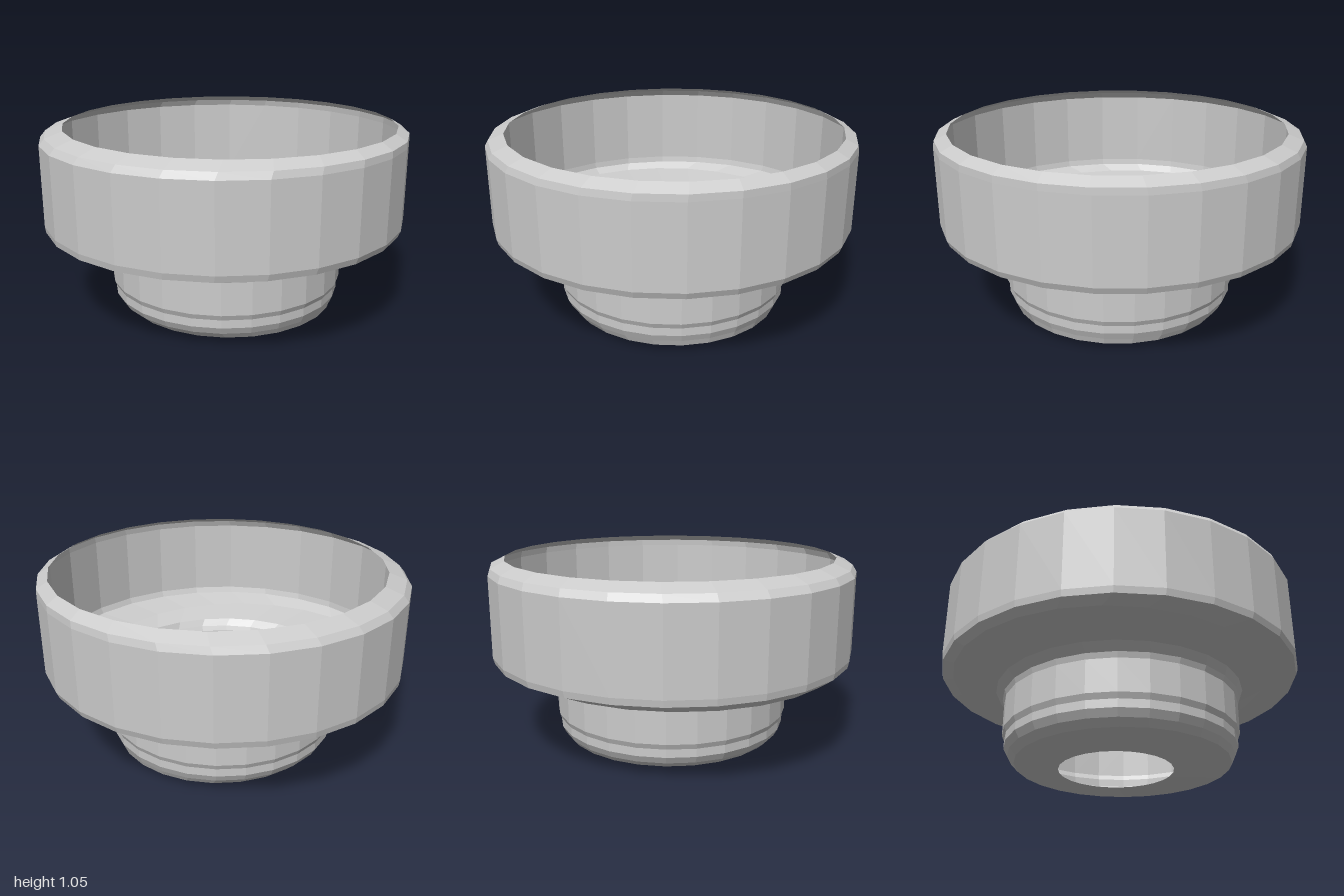
import * as THREE from 'three';

export function createModel() {
  const group = new THREE.Group();
  group.name = 'steppedCup';

  // Rings of the thin shell from the base hole up to the rim: [radius, height, x offset]
  const rings = [
    // base with hole
    [0.312, 0.0, -0.035], [0.593, 0.04, 0.03],
    // neck with a small step
    [0.62, 0.075, 0.015], [0.64, 0.115, 0.012], [0.64, 0.16, 0.012],
    [0.653, 0.19, 0.012], [0.653, 0.37, 0.012], [0.665, 0.4, 0.015],
    // flange
    [0.69, 0.44, -0.005], [0.86, 0.48, -0.1], [0.99, 0.515, -0.005],
    // wide wall and bevelled rim
    [1.0, 0.55, 0], [1.0, 0.985, 0], [0.985, 1.02, 0.014], [0.908, 1.055, 0.032],
  ];

  const geometry = new THREE.LatheGeometry(
    rings.map(([r, y]) => new THREE.Vector2(r, y)), 26, -0.04);

  // Shift each ring slightly sideways for the uneven profile
  const pos = geometry.attributes.position;
  for (let i = 0; i < pos.count; i++) {
    pos.setX(i, pos.getX(i) + rings[i % rings.length][2]);
  }
  geometry.computeVertexNormals();

  const shell = new THREE.Mesh(geometry, new THREE.MeshStandardMaterial({
    color: 0xcccccc, flatShading: true, side: THREE.DoubleSide,
  }));
  shell.name = 'shell';
  group.add(shell);
  return group;
}
